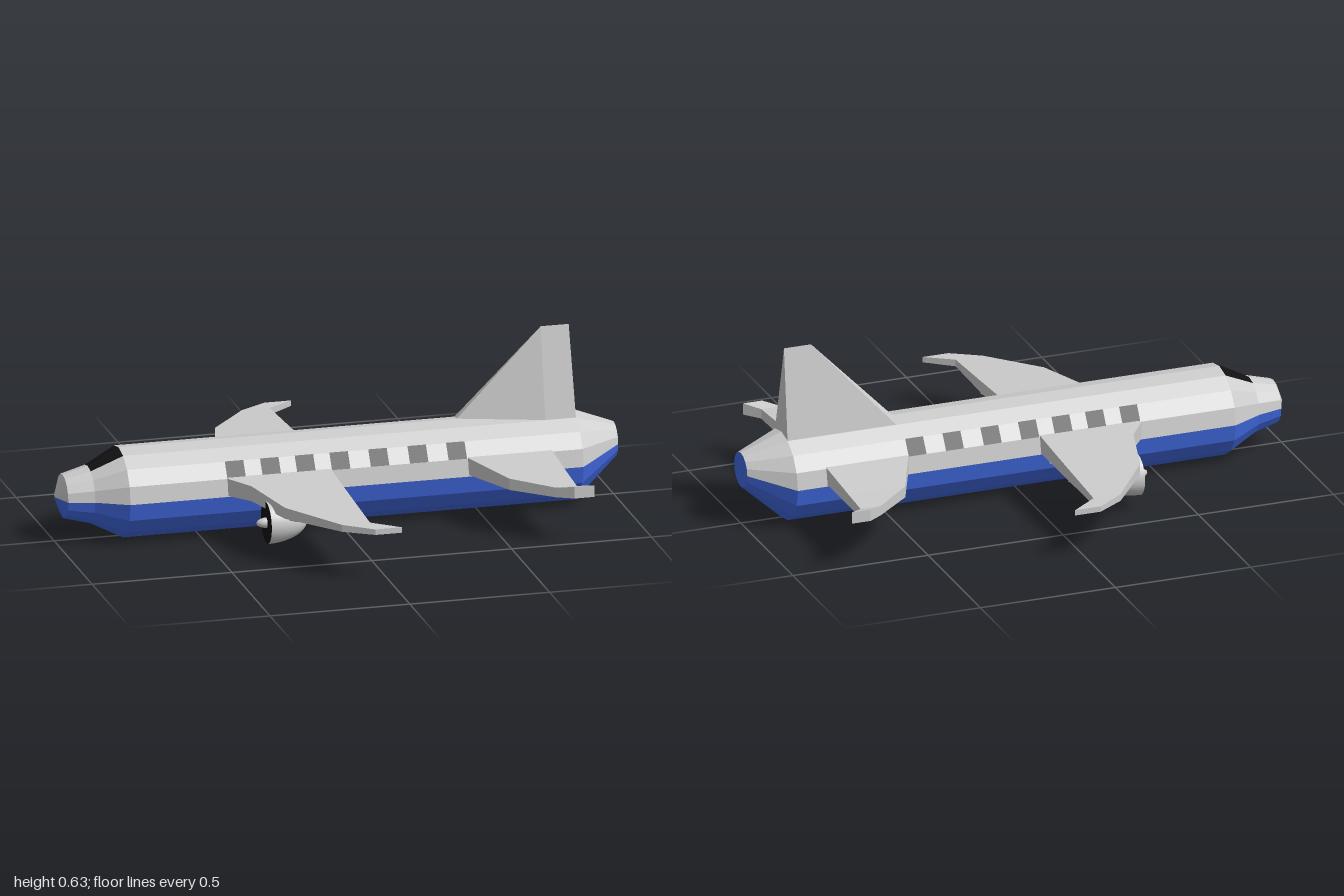
import * as THREE from 'three';

const GREY = 0xcccccc, BLUE = 0x4169e1, BLACK = 0x111111;
const SIDES = 16;

const material = (color, flatShading = true) => new THREE.MeshStandardMaterial({ color, flatShading });

function addMesh(parent, name, geometry, mat) {
  const mesh = new THREE.Mesh(geometry, mat);
  mesh.name = name;
  parent.add(mesh);
  return mesh;
}

// Skin between successive rings of [x, y, z] points; closed rings also get end caps.
function loft(rings, closed) {
  const pos = [];
  const tri = (a, b, c) => pos.push(...a, ...b, ...c);
  const n = rings[0].length;
  for (let i = 0; i < rings.length - 1; i++) {
    for (let j = 0; j < (closed ? n : n - 1); j++) {
      const k = (j + 1) % n;
      const a = rings[i][j], b = rings[i][k], c = rings[i + 1][k], d = rings[i + 1][j];
      tri(a, b, c);
      tri(a, c, d);
    }
  }
  if (closed) {
    const first = rings[0], last = rings[rings.length - 1];
    for (let j = 1; j < n - 1; j++) {
      tri(last[0], last[j], last[j + 1]);
      tri(first[0], first[j + 1], first[j]);
    }
  }
  const g = new THREE.BufferGeometry();
  g.setAttribute('position', new THREE.Float32BufferAttribute(pos, 3));
  g.computeVertexNormals();
  return g;
}

// Arc of a fuselage station [x, centre y, radius], side indices counted from the top
function arc([x, cy, r], from, to) {
  const pts = [];
  for (let j = from; j <= to; j++) {
    const t = (j / SIDES) * Math.PI * 2;
    pts.push([x, cy + r * Math.cos(t), r * Math.sin(t)]);
  }
  return pts;
}

// Wing from stations [z, front x, back x, bottom y, top y]; s = 1 or -1 picks the side
function wing(stations, s) {
  return loft(stations.map(([z, xf, xb, yb, yt]) => {
    const ring = [[xf, yb, s * z], [xb, yb, s * z], [xb, yt, s * z], [xf, yt, s * z]];
    return s > 0 ? ring : ring.reverse();
  }), true);
}

export function createModel() {
  const plane = new THREE.Group();
  plane.name = 'airplane';
  const grey = material(GREY), blue = material(BLUE), black = material(BLACK);

  // Fuselage: grey upper half, blue lower half, windscreen in the two top facets
  const body = [[-1, 0.16, 0.005], [-0.97, 0.16, 0.078], [-0.88, 0.16, 0.102],
    [-0.77, 0.16, 0.16], [0.85, 0.16, 0.16], [1, 0.2, 0.063]];
  const shell = (name, stations, from, to, mat) =>
    addMesh(plane, name, loft(stations.map((st) => arc(st, from, to)), false), mat);
  shell('noseTop', body.slice(0, 3), -4, 4, grey);
  shell('browRight', body.slice(2, 4), -4, -1, grey);
  shell('windscreen', body.slice(2, 4), -1, 1, black);
  shell('browLeft', body.slice(2, 4), 1, 4, grey);
  shell('fuselageTop', body.slice(3), -4, 4, grey);
  shell('fuselageBelly', body, 4, 12, blue);
  const tailCap = addMesh(plane, 'tailCap', new THREE.CircleGeometry(0.063, SIDES), blue);
  tailCap.rotation.y = Math.PI / 2;
  tailCap.position.set(1, 0.2, 0);

  // Cabin windows, one facet high
  for (const x of [-0.388, -0.262, -0.138, -0.014, 0.125, 0.265, 0.403]) {
    const ends = [[x - 0.033, 0.16, 0.162], [x + 0.033, 0.16, 0.162]];
    shell('windowLeft', ends, 2, 3, black);
    shell('windowRight', ends, -3, -2, black);
  }

  // Tail fin: wide base narrowing to a sharp ridge
  const finSection = (x, ridgeX, ridgeY) => [[x, 0.3, 0.061], [x, 0.3, -0.061], [ridgeX, ridgeY, 0]];
  addMesh(plane, 'tailFin', loft([
    finSection(0.44, 0.44, 0.32), finSection(0.74, 0.74, 0.63), finSection(0.85, 0.84, 0.63),
  ], true), grey);

  const wingStations = [[0.12, -0.42, -0.05, 0.163, 0.227], [0.16, -0.42, -0.05, 0.163, 0.225],
    [0.24, -0.36, -0.05, 0.165, 0.219], [0.46, -0.3, -0.05, 0.165, 0.205],
    [0.66, -0.15, -0.05, 0.168, 0.193], [0.73, -0.05, 0.045, 0.17, 0.19]];
  const stabilizerStations = [[0.12, 0.44, 0.74, 0.165, 0.227], [0.155, 0.44, 0.74, 0.165, 0.225],
    [0.36, 0.53, 0.74, 0.167, 0.208], [0.475, 0.665, 0.74, 0.165, 0.2],
    [0.52, 0.72, 0.79, 0.17, 0.212]];
  // Pylon wedge under the wing, widest where it meets the wing
  const pylonStations = [[0.24, -0.3, -0.05, 0.16, 0.175], [0.26, -0.29, -0.1, 0.13, 0.175],
    [0.4, -0.27, -0.1, 0.13, 0.175], [0.42, -0.26, -0.05, 0.16, 0.175]];

  for (const s of [1, -1]) {
    const side = s > 0 ? 'Left' : 'Right';
    addMesh(plane, 'wing' + side, wing(wingStations, s), grey);
    addMesh(plane, 'stabilizer' + side, wing(stabilizerStations, s), grey);
    addMesh(plane, 'pylon' + side, wing(pylonStations, s), grey);

    // Engine: half ellipsoid pod, dark intake disc, spinner
    const engine = new THREE.Group();
    engine.name = 'engine' + side;
    engine.position.set(-0.335, 0.118, s * 0.345);
    const pod = addMesh(engine, 'pod',
      new THREE.SphereGeometry(1, 24, 10, 0, Math.PI * 2, 0, Math.PI / 2), material(GREY, false));
    pod.scale.set(0.075, 0.145, 0.072);
    pod.rotation.z = -Math.PI / 2;
    pod.rotation.order = 'ZYX';
    const intake = addMesh(engine, 'intake', new THREE.CircleGeometry(0.073, 24), black);
    intake.rotation.y = -Math.PI / 2;
    const spinner = addMesh(engine, 'spinner', new THREE.SphereGeometry(0.018, 12, 8), material(GREY, false));
    spinner.scale.x = 2;
    plane.add(engine);
  }
  return plane;
}
